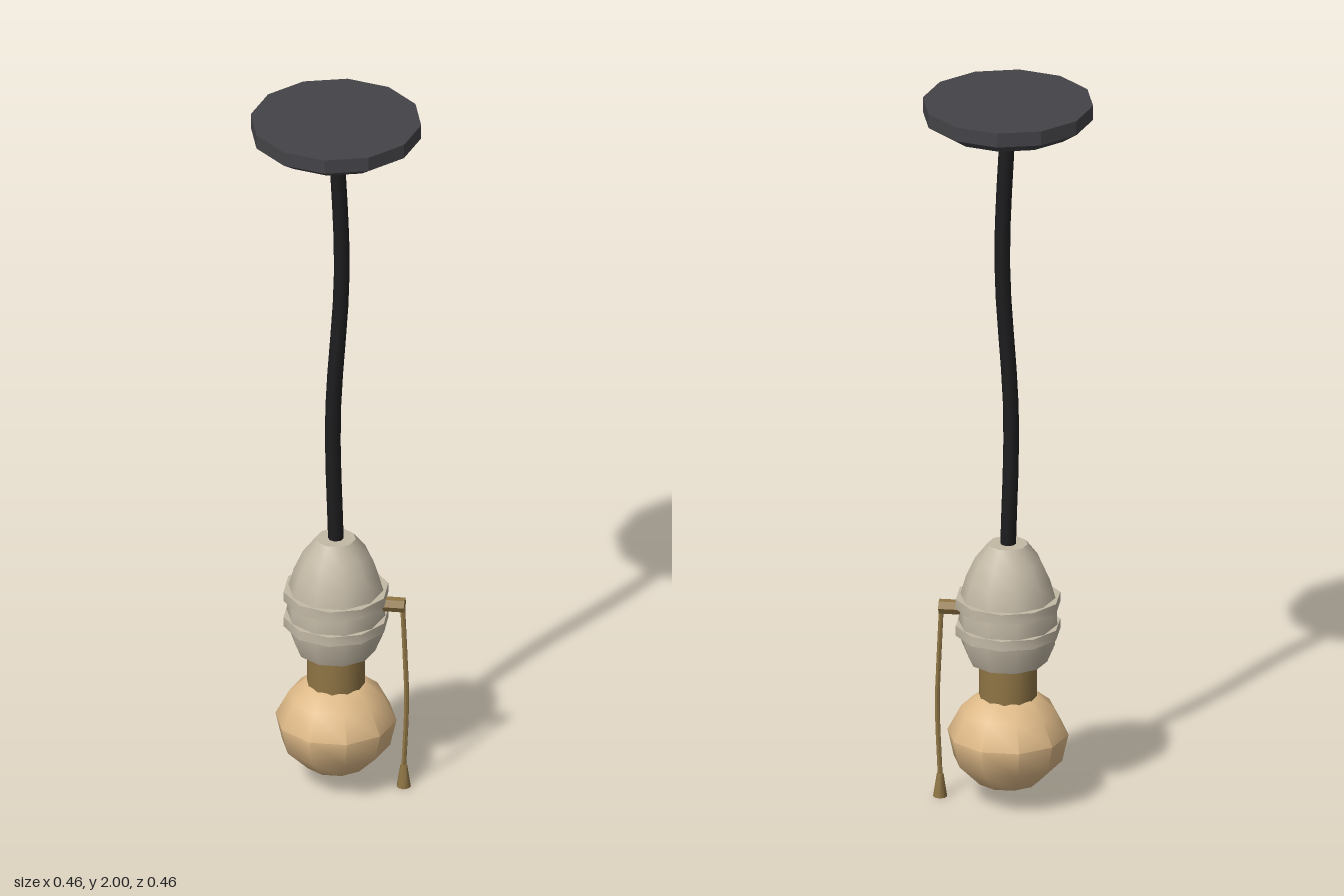
import * as THREE from 'three';
import { toCreasedNormals } from 'three/addons/utils/BufferGeometryUtils.js';

const material = (name, color) => new THREE.MeshStandardMaterial({ name, color });

export function createModel() {
  const group = new THREE.Group();
  const canopyGrey = material('canopyGrey', 0x444347);
  const cordBlack = material('cordBlack', 0x1d1d1f);
  const socketCream = material('socketCream', 0xc2b8a5);
  const brass = material('brass', 0x8f7545);
  const bulbAmber = material('bulbAmber', 0xdfba88);

  function add(name, geometry, mat, crease = 0.9) {
    const mesh = new THREE.Mesh(toCreasedNormals(geometry, crease), mat);
    mesh.name = name;
    group.add(mesh);
    return mesh;
  }
  // Profiles run from bottom to top as [radius, height]
  function lathe(profile, sides, start = Math.PI / 2) {
    return new THREE.LatheGeometry(profile.map(p => new THREE.Vector2(...p)), sides, start);
  }
  function tube(points, segments, radius, sides) {
    const curve = new THREE.CatmullRomCurve3(points.map(p => new THREE.Vector3(...p)));
    return new THREE.TubeGeometry(curve, segments, radius, sides);
  }

  // Ceiling canopy: faceted disc with a bevelled underside
  add('ceilingCanopy', lathe([[0, 1.93], [0.183, 1.93], [0.228, 1.96], [0.228, 2], [0, 2]], 12), canopyGrey, 0.4);

  // Gently swaying cord
  add('cord', tube([[0, 1.95, 0], [0.015, 1.54, -0.004], [-0.008, 1.1, 0.002], [0, 0.72, 0]], 12, 0.021, 8), cordBlack);

  // Egg-shaped socket with two raised rings
  add('socketBody', lathe([[0, 0.402], [0.105, 0.402], [0.125, 0.45], [0.132, 0.51], [0.13, 0.575],
    [0.113, 0.635], [0.088, 0.69], [0.053, 0.735], [0, 0.735]], 10), socketCream);
  for (const [name, y] of [['lowerRing', 0.495], ['upperRing', 0.571]]) {
    add(name, lathe([[0.1, y - 0.014], [0.141, y - 0.014], [0.141, y + 0.014], [0.1, y + 0.014]], 10, 0), socketCream);
  }

  // Brass neck and bulb
  add('bulbNeck', new THREE.CylinderGeometry(0.078, 0.078, 0.14, 12).translate(0, 0.35, 0), brass);
  add('bulb', lathe([[0, 0.035], [0.085, 0.06], [0.145, 0.12], [0.162, 0.195], [0.125, 0.265],
    [0.078, 0.303], [0, 0.303]], 10), bulbAmber);

  // Pull switch: side stem, hanging chain and end weight
  const stem = new THREE.CylinderGeometry(0.02, 0.02, 0.075, 6).rotateZ(Math.PI / 2).translate(0.147, 0.545, 0);
  add('switchStem', stem, brass);
  add('pullChain', tube([[0.178, 0.55, 0], [0.185, 0.4, 0.003], [0.19, 0.26, 0.006], [0.182, 0.06, 0.004]], 8, 0.007, 6), brass);
  add('pullWeight', new THREE.CylinderGeometry(0.009, 0.019, 0.065, 8).translate(0.182, 0.0325, 0.004), brass);

  return group;
}
